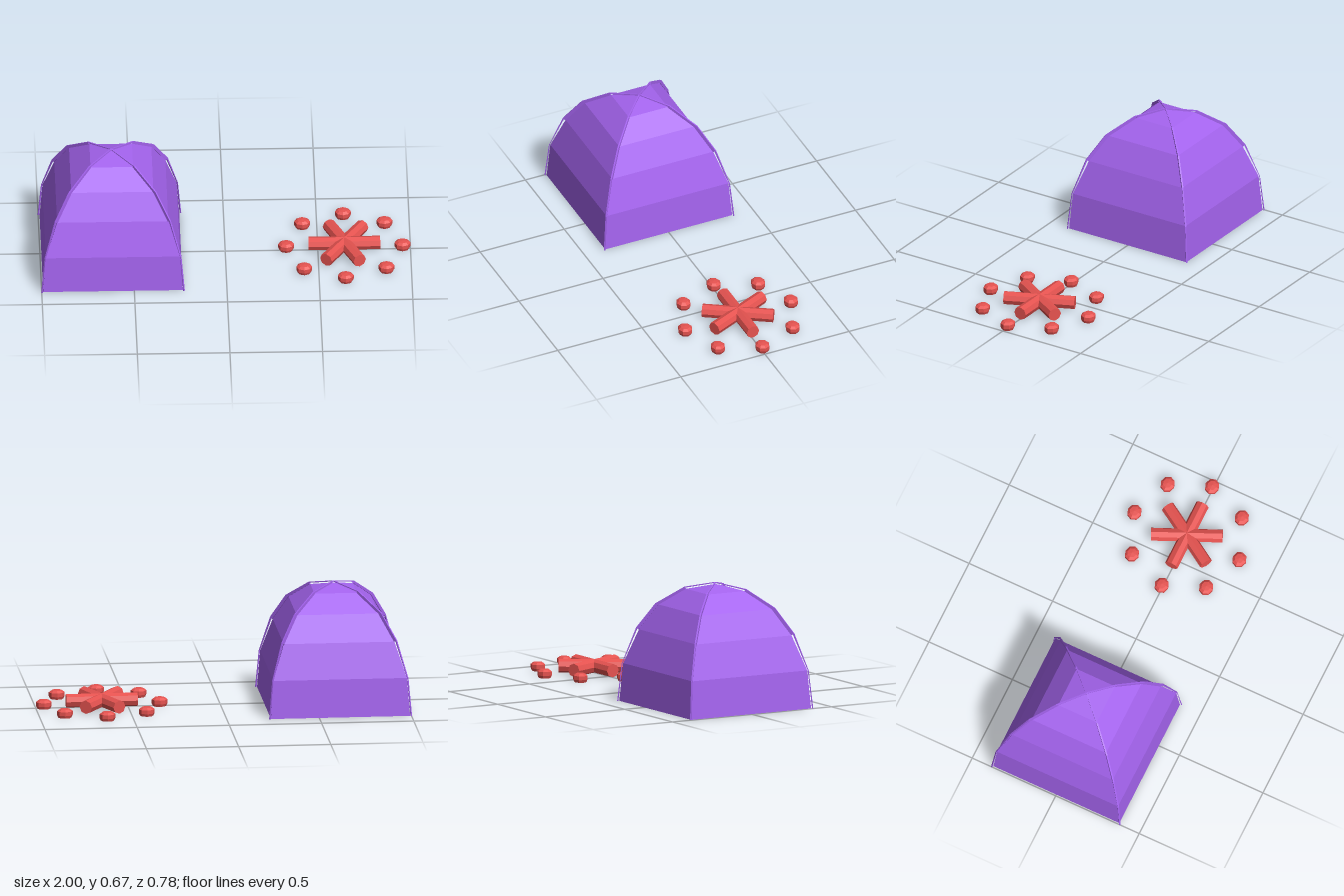
import * as THREE from 'three';

const mat = (color) => new THREE.MeshStandardMaterial({ color, flatShading: true, side: THREE.DoubleSide });

function add(parent, name, geometry, material) {
  const mesh = new THREE.Mesh(geometry, material);
  mesh.name = name;
  parent.add(mesh);
  return mesh;
}

// Half-width and height of the fabric and of the poles just outside it
const FABRIC = [[0.377, 0], [0.362, 0.207], [0.3, 0.395], [0.222, 0.535], [0.115, 0.627], [0, 0.66]];
const POLE = [[0.385, 0], [0.367, 0.207], [0.311, 0.405], [0.235, 0.542], [0.122, 0.638], [0, 0.671]];
const corner = ([w, y]) => new THREE.Vector2(w * Math.SQRT2, y);

function createTent() {
  const tent = new THREE.Group();
  tent.name = 'tent';
  const purple = mat(0xa463ee);

  // Square dome, open underneath
  const shell = new THREE.LatheGeometry(FABRIC.map(corner), 4);
  add(tent, 'tentFabric', shell, purple).rotation.y = Math.PI / 4;

  // Four corner poles; sleeves join the two middle-upper spans to the fabric
  const outer = POLE.map(corner);
  const inner = FABRIC.map(corner);
  const spans = [];
  for (let i = 0; i < 5; i++) {
    const fill = i === 2 || i === 3 ? 1 : 0.45;
    const a = outer[i].clone().lerp(inner[i], fill);
    const b = outer[i + 1].clone().lerp(inner[i + 1], fill);
    spans.push(new THREE.Shape([outer[i], outer[i + 1], b, a]));
  }
  const poleGeo = new THREE.ExtrudeGeometry(spans, { depth: 0.008, bevelEnabled: false });
  poleGeo.translate(0, 0, -0.004);
  for (let k = 0; k < 4; k++) {
    add(tent, 'tentPole', poleGeo, purple).rotation.y = Math.PI / 4 + k * Math.PI / 2;
  }
  return tent;
}

function createCampfire() {
  const fire = new THREE.Group();
  fire.name = 'campfire';
  const red = mat(0xe65350);

  // Three logs crossing in the middle
  const logGeo = new THREE.CylinderGeometry(0.037, 0.037, 0.387, 8);
  logGeo.rotateZ(Math.PI / 2);
  for (const angle of [0, -66, 58]) {
    const log = add(fire, 'log', logGeo, red);
    log.position.y = 0.039;
    log.rotation.y = THREE.MathUtils.degToRad(angle);
  }

  // Ring of eight flattened stones
  const profile = [[0, 0], [0.036, 0], [0.043, 0.015], [0.043, 0.036], [0.028, 0.047], [0, 0.05]];
  const stoneGeo = new THREE.LatheGeometry(profile.map(([r, y]) => new THREE.Vector2(r, y)), 8);
  stoneGeo.scale(1, 1, 0.9);
  for (let i = 0; i < 8; i++) {
    const a = i * Math.PI / 4;
    const stone = add(fire, 'stone', stoneGeo, red);
    stone.position.set(Math.cos(a) * 0.314, 0, Math.sin(a) * 0.314);
  }
  return fire;
}

export function createModel() {
  const model = new THREE.Group();
  model.name = 'campsite';
  const tent = createTent();
  tent.position.x = -0.615;
  const fire = createCampfire();
  fire.position.set(0.643, 0, -0.005);
  model.add(tent, fire);
  return model;
}
